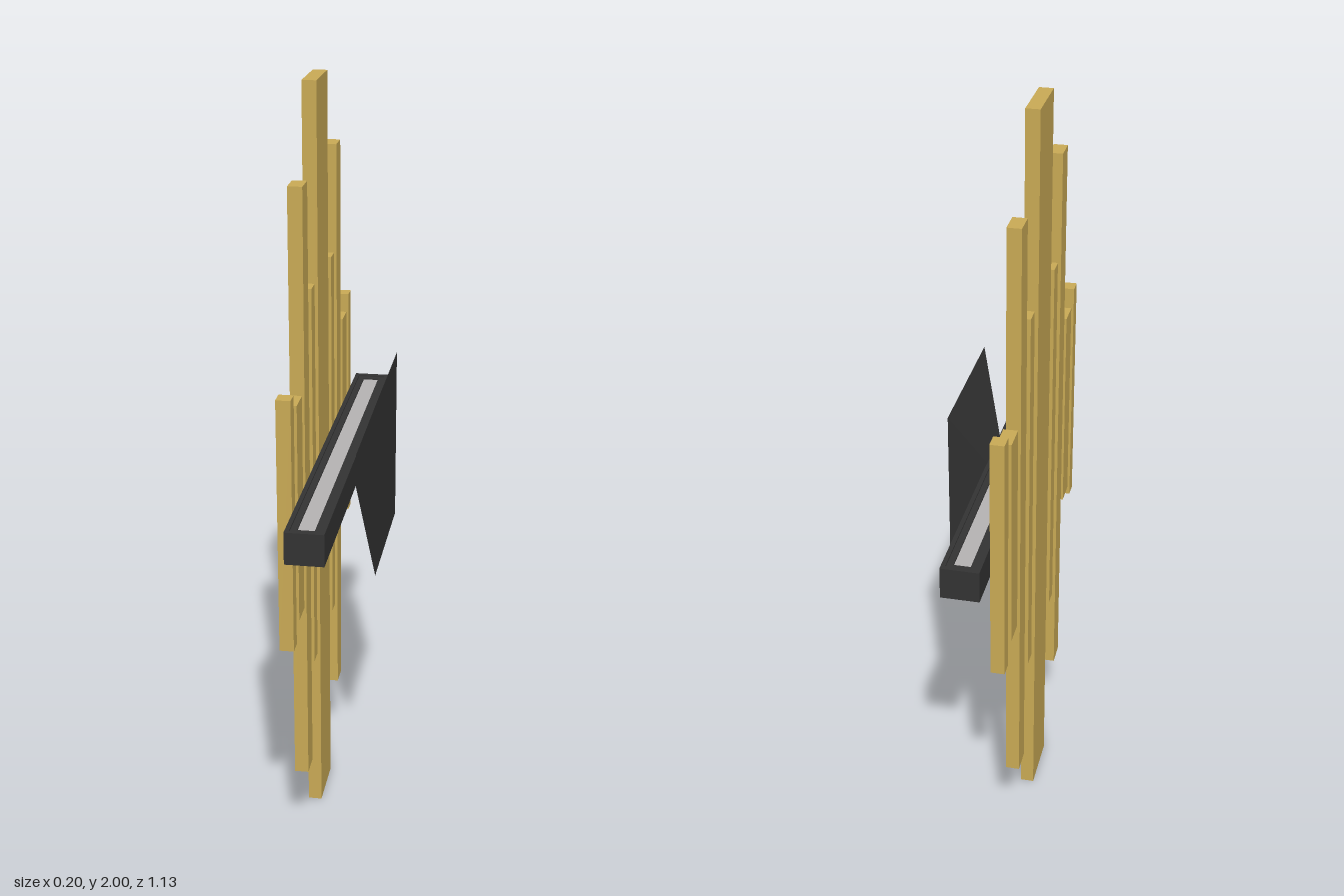
import * as THREE from 'three';

const gold = new THREE.MeshStandardMaterial({ color: 0xc9aa55 });
const dark = new THREE.MeshStandardMaterial({ color: 0x333333 });
const diffuser = new THREE.MeshStandardMaterial({ color: 0xb5b2b2 });

const MID_Y = 1.005; // height of the lamp housing's centre
const MID_X = -0.017; // its centre across

function add(parent, name, geometry, material, x, y, z) {
  const mesh = new THREE.Mesh(geometry, material);
  mesh.name = name;
  mesh.position.set(x, y, z);
  parent.add(mesh);
  return mesh;
}

function rectangle(path, w, l) {
  path.moveTo(-w / 2, -l / 2);
  path.lineTo(w / 2, -l / 2);
  path.lineTo(w / 2, l / 2);
  path.lineTo(-w / 2, l / 2);
  path.closePath();
  return path;
}

// Rectangular frame lying flat, open through its height
function frame(w, l, innerW, innerL, height) {
  const shape = rectangle(new THREE.Shape(), w, l);
  shape.holes.push(rectangle(new THREE.Path(), innerW, innerL));
  return new THREE.ExtrudeGeometry(shape, { depth: height, bevelEnabled: false })
    .translate(0, 0, -height / 2)
    .rotateX(-Math.PI / 2);
}

export function createModel() {
  const model = new THREE.Group();
  model.name = 'wallLamp';

  // Vertical decorative bars: [z, width, bottom, top], mirrored along z
  const bars = new THREE.Group();
  bars.name = 'decorativeBars';
  model.add(bars);
  const rows = [
    [0, 0.157, 0, 2],
    [0.147, 0.045, 0.49, 1.515],
    [0.246, 0.064, 0.215, 1.79],
    [0.346, 0.07, 0.72, 1.29],
    [0.438, 0.04, 0.675, 1.33],
  ];
  for (const [z, width, bottom, top] of rows) {
    for (const side of z ? [1, -1] : [1]) {
      add(bars, 'bar', new THREE.BoxGeometry(0.036, top - bottom, width), gold,
        -0.083, (bottom + top) / 2, side * z);
    }
  }

  // Horizontal housing with stepped lips, open above and below
  const housing = new THREE.Group();
  housing.name = 'lampHousing';
  housing.position.set(MID_X, MID_Y, 0);
  model.add(housing);
  add(housing, 'outerFrame', frame(0.096, 1.134, 0.074, 1.106, 0.082), dark, 0, 0, 0);
  add(housing, 'innerFrame', frame(0.074, 1.106, 0.042, 1.078, 0.074), dark, 0, 0, 0);
  add(housing, 'lightDiffuser', new THREE.BoxGeometry(0.042, 0.066, 1.078), diffuser, 0, 0, 0);

  // Wall mount flaring from the housing to a wide flat plate
  const mount = new THREE.BoxGeometry(0.07, 1, 1);
  const p = mount.attributes.position;
  for (let i = 0; i < p.count; i++) {
    const wide = p.getX(i) > 0;
    p.setY(i, p.getY(i) * (wide ? 0.47 : 0.082));
    p.setZ(i, p.getZ(i) * (wide ? 0.4 : 0.15));
  }
  const flat = mount.toNonIndexed();
  flat.computeVertexNormals();
  add(model, 'wallMount', flat, dark, 0.065, MID_Y, 0);

  return model;
}
